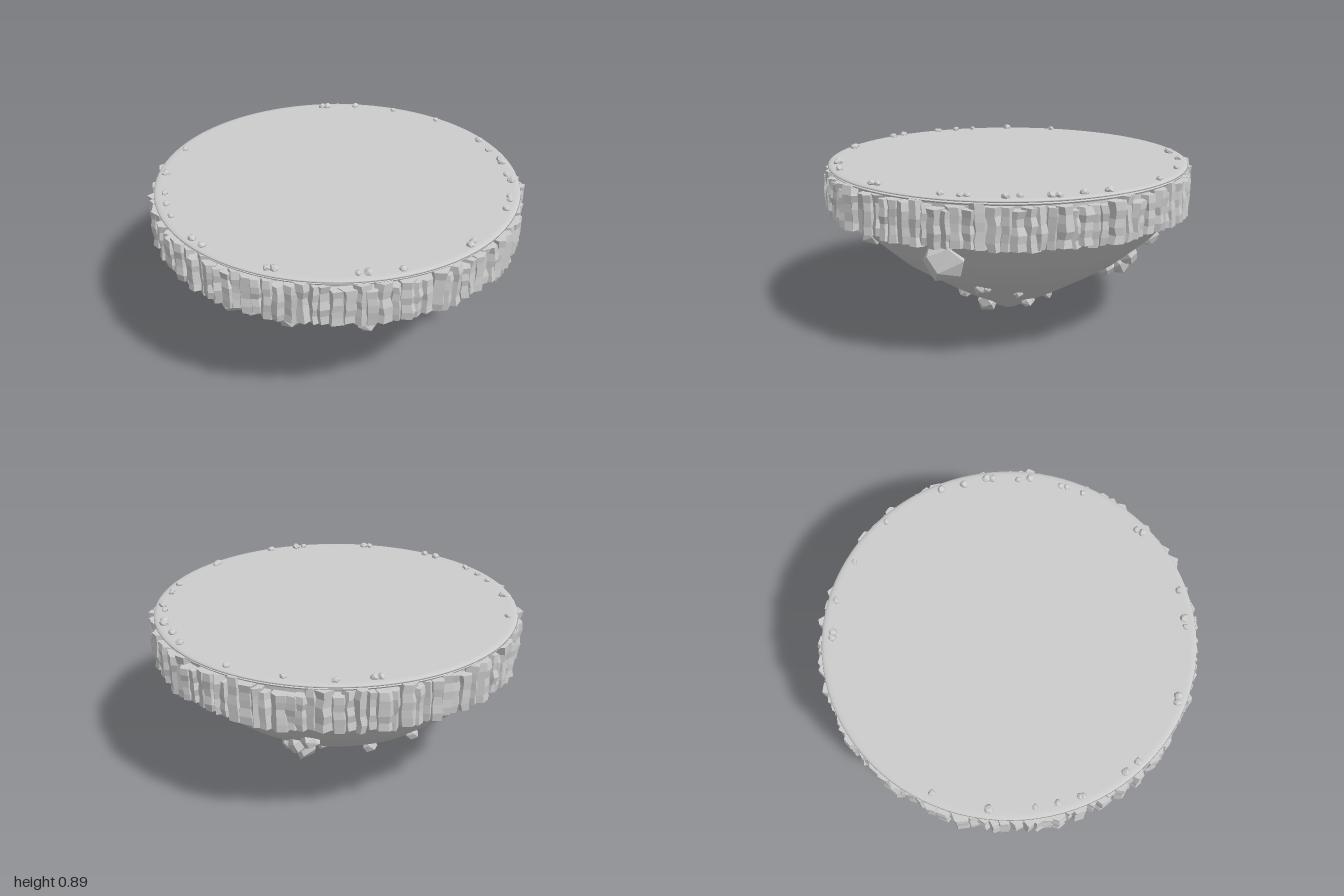
import * as THREE from 'three';
import { ConvexGeometry } from 'three/addons/geometries/ConvexGeometry.js';
import { mergeVertices } from 'three/addons/utils/BufferGeometryUtils.js';

// small seeded generator
let seed = 7;
const rand = () => {
  seed = (seed * 16807) % 2147483647;
  return seed / 2147483647;
};
const range = (a, b) => a + (b - a) * rand();

const smoothStone = new THREE.MeshStandardMaterial({ color: 0xcccccc });
smoothStone.name = 'stone';
const facetedStone = smoothStone.clone();
facetedStone.name = 'faceted stone';
facetedStone.flatShading = true;

function add(parent, name, geometry, material) {
  const mesh = new THREE.Mesh(geometry, material);
  mesh.name = name;
  parent.add(mesh);
  return mesh;
}

function addGroup(parent, name) {
  const group = new THREE.Group();
  group.name = name;
  parent.add(group);
  return group;
}

const lathe = (profile) =>
  new THREE.LatheGeometry(profile.map(([r, y]) => new THREE.Vector2(r, y)), 96);

// underside radius by height, and its slight lean towards +x and -z
const slope = [[0, 0], [0.05, 0.012], [0.12, 0.05], [0.33, 0.17], [0.54, 0.3],
  [0.63, 0.36], [0.71, 0.43], [0.79, 0.5], [0.9, 0.63]];
const lean = (x, z) => {
  const a = Math.atan2(z, x);
  return 1 + 0.03 * Math.cos(a + 0.7) + 0.012 * Math.sin(3 * a + 0.5);
};
function slopeRadius(y) {
  const i = slope.findIndex((point) => point[1] >= y);
  const [r0, y0] = slope[i - 1], [r1, y1] = slope[i];
  return THREE.MathUtils.mapLinear(y, y0, y1, r0, r1);
}

function undersideGeometry() {
  const g = lathe(slope);
  g.deleteAttribute('normal');
  g.deleteAttribute('uv');
  const p = g.attributes.position;
  for (let i = 0; i < p.count; i++) {
    const x = p.getX(i), z = p.getZ(i), s = lean(x, z);
    p.setX(i, x * s);
    p.setZ(i, z * s);
  }
  const merged = mergeVertices(g, 1e-4);
  merged.computeVertexNormals();
  return merged;
}

// angular upright stone with wavy sides
function columnGeometry(width, depth, bottom, top) {
  const levels = 5, sides = 5 + Math.floor(rand() * 2);
  const g = new THREE.CylinderGeometry(0.5, 0.5, top - bottom, sides, levels);
  g.rotateY(range(0, 6.28));
  const wobble = Array.from({ length: levels + 1 }, () => [range(0.84, 1.1), range(-0.006, 0.006)]);
  const p = g.attributes.position;
  for (let i = 0; i < p.count; i++) {
    const level = Math.round((p.getY(i) / (top - bottom) + 0.5) * levels);
    const [scale, shift] = wobble[level];
    p.setX(i, p.getX(i) * width * scale + shift);
    p.setZ(i, p.getZ(i) * depth * scale + shift * 0.6);
  }
  g.translate(0, (top + bottom) / 2, 0);
  return g;
}

// chunky convex rock
function rockGeometry(size, stretch, corners) {
  const points = [];
  for (let i = 0; i < corners; i++) {
    const h = 1 - 2 * (i + 0.5) / corners, a = i * 2.4 + range(-0.3, 0.3);
    const r = Math.sqrt(1 - h * h), k = size * range(0.85, 1.1);
    points.push(new THREE.Vector3(Math.cos(a) * r * k, h * stretch * k, Math.sin(a) * r * k));
  }
  return new ConvexGeometry(points);
}

// places a part around the centre; angle runs from the front towards +x
function placeAround(mesh, angle, radius, y) {
  mesh.position.set(Math.sin(angle) * radius, y, Math.cos(angle) * radius);
  mesh.rotation.y = angle;
}

// rocks on the underside: angle in degrees, height, size
const rocks = [
  [-57, 0.5, 0.08], [-54, 0.42, 0.065], [-32, 0.56, 0.065], [-5, 0.48, 0.06], [51, 0.55, 0.105],
  [-70, 0.22, 0.06], [-79, 0.17, 0.04], [-112, 0.085, 0.06], [-122, 0.11, 0.045], [2, 0.13, 0.045],
  [36, 0.095, 0.06], [95, 0.125, 0.042], [57, 0.305, 0.03], [61, 0.3, 0.022], [78, 0.25, 0.025],
  [139, 0.115, 0.033], [134, 0.325, 0.05], [143, 0.345, 0.07], [141, 0.39, 0.056], [148, 0.475, 0.053],
  [175, 0.3, 0.038], [-171, 0.415, 0.036], [-153, 0.2, 0.045], [-136, 0.24, 0.026], [-132, 0.59, 0.035],
];

// pebbles along the top edge: angle in degrees
const pebbles = [168, 170, 157, 142, 124, 102, 94, 86, 84, 75, 71, 60, 58, 52, 29, 27, 3,
  -7, -10, -34, -36, -59, -64, -79, -80, -87, -94, -108, -126];

export function createModel() {
  seed = 7;
  const model = new THREE.Group();
  model.name = 'floatingPlatform';

  add(model, 'underside', undersideGeometry(), smoothStone);
  add(model, 'rimWall', lathe([[0.85, 0.63], [0.925, 0.63], [0.925, 0.845]]), facetedStone);
  add(model, 'topLedge', lathe([[0.9, 0.836], [0.95, 0.838], [0.955, 0.846], [0.94, 0.851]]), facetedStone);
  add(model, 'topDisc', lathe([[0.9, 0.85], [0.945, 0.85], [0.96, 0.855], [0.957, 0.861],
    [0.945, 0.865], [0.93, 0.866], [0.92, 0.866], [0, 0.866]]), smoothStone);

  // ring of upright stones
  const rim = addGroup(model, 'rimStones');
  const count = 112;
  for (let i = 0; i < count; i++) {
    const width = range(0.06, 0.1), depth = range(0.07, 0.1);
    const stone = columnGeometry(width, depth, range(0.622, 0.64), range(0.805, 0.85));
    const angle = (i + range(-0.25, 0.25)) / count * Math.PI * 2;
    placeAround(add(rim, 'rimStone', stone, facetedStone), angle, range(0.967, 0.993) - depth / 2, 0);
  }

  const rockGroup = addGroup(model, 'undersideRocks');
  for (const [degrees, y, size] of rocks) {
    const angle = THREE.MathUtils.degToRad(degrees);
    const radius = slopeRadius(y) * lean(Math.sin(angle), Math.cos(angle));
    placeAround(add(rockGroup, 'rock', rockGeometry(size, 1.1, 16), facetedStone), angle, radius, y);
  }

  const pebbleGroup = addGroup(model, 'topPebbles');
  for (const degrees of pebbles) {
    const pebble = add(pebbleGroup, 'pebble', rockGeometry(range(0.016, 0.025), 0.85, 20), facetedStone);
    placeAround(pebble, THREE.MathUtils.degToRad(degrees), range(0.9, 0.92), 0.871);
  }
  return model;
}
